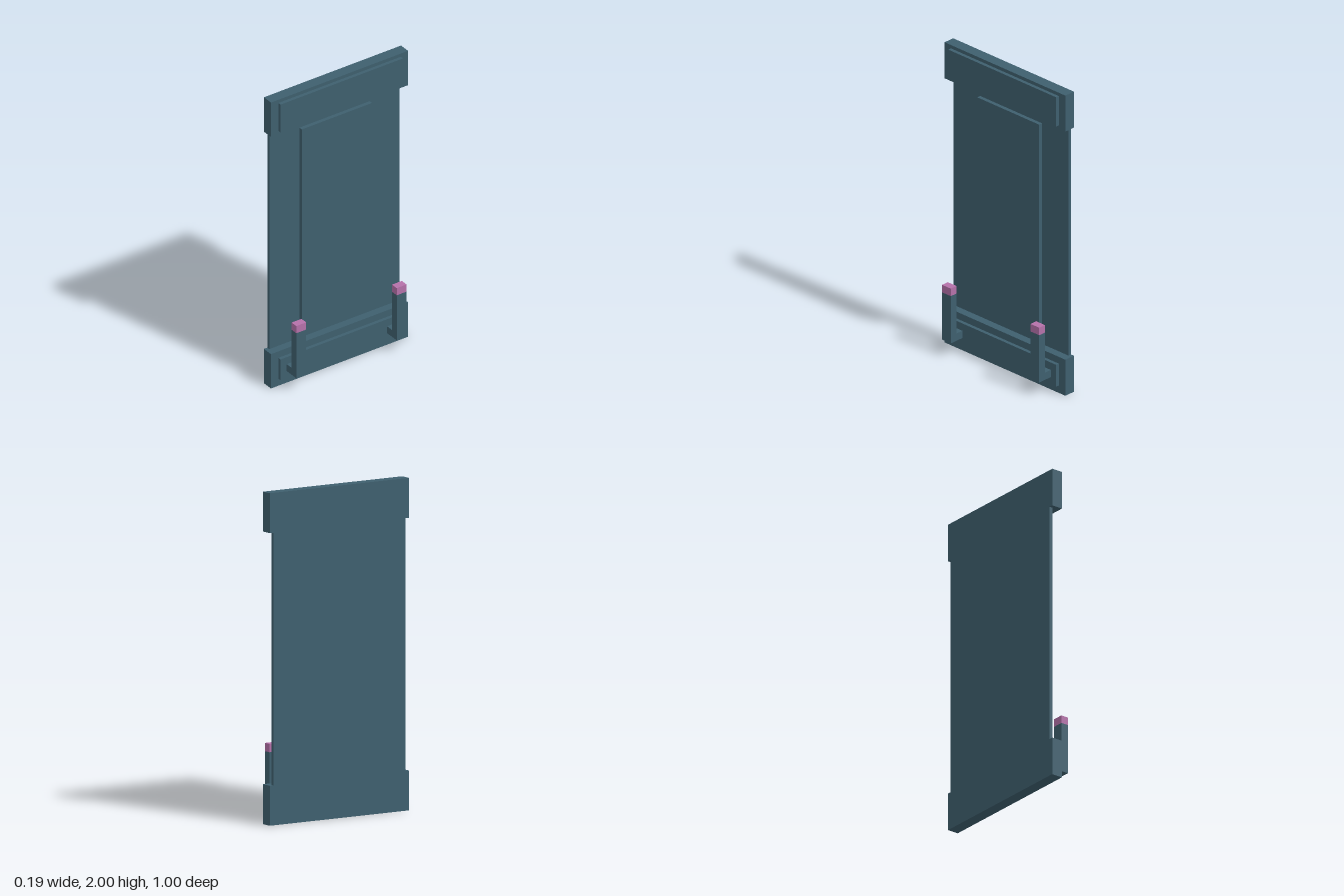
import * as THREE from 'three';

export function createModel() {
  const model = new THREE.Group();
  model.name = 'wallPanel';

  const slate = new THREE.MeshStandardMaterial({ color: 0x3e5f6e });
  slate.name = 'slate blue';
  const pink = new THREE.MeshStandardMaterial({ color: 0xb571aa });
  pink.name = 'pink';

  // Box given by its minimum and maximum on each axis
  function block(name, [x0, x1], [y0, y1], [z0, z1], material = slate, parent = model) {
    const mesh = new THREE.Mesh(new THREE.BoxGeometry(x1 - x0, y1 - y0, z1 - z0), material);
    mesh.position.set((x0 + x1) / 2, (y0 + y1) / 2, (z0 + z1) / 2);
    mesh.name = name;
    parent.add(mesh);
  }

  // Main sheet with its raised centre
  block('backPanel', [-0.098, -0.077], [0.24, 1.76], [-0.475, 0.475]);
  block('raisedPanel', [-0.077, -0.052], [0.295, 1.71], [-0.256, 0.256]);

  // Thick rails at both ends, each with a raised plate
  block('bottomRail', [-0.098, -0.025], [0, 0.24], [-0.5, 0.5]);
  block('bottomPlate', [-0.025, -0.002], [0.05, 0.195], [-0.447, 0.447]);
  block('topRail', [-0.098, -0.025], [1.76, 2], [-0.5, 0.5]);
  block('topPlate', [-0.025, -0.002], [1.783, 1.978], [-0.447, 0.447]);

  // Pair of L-shaped hooks with coloured tips
  for (const side of [-1, 1]) {
    const hook = new THREE.Group();
    hook.name = side > 0 ? 'frontHook' : 'rearHook';
    hook.position.z = side * 0.366;
    model.add(hook);
    const width = [-0.036, 0.036];
    block('hookArm', [-0.002, 0.048], [0.098, 0.146], width, slate, hook);
    block('hookPost', [0.048, 0.097], [0.098, 0.413], width, slate, hook);
    block('hookTip', [0.048, 0.097], [0.413, 0.463], width, pink, hook);
  }

  return model;
}
